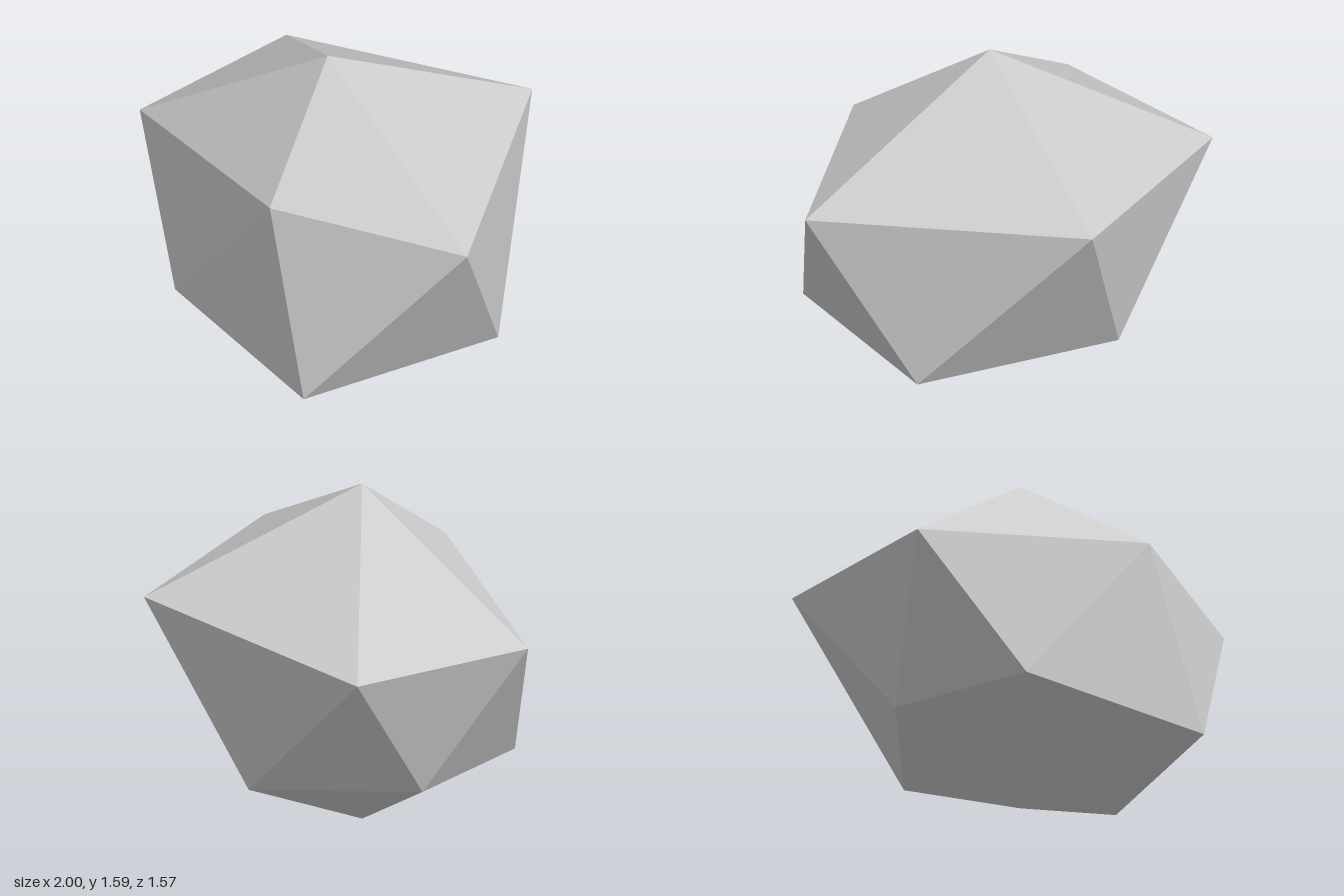
import * as THREE from 'three';

// Irregular twenty-sided boulder: two poles and two staggered rings of five corners
const TOP = [-0.07, 1.585, 0.19];
const BOTTOM = [-0.07, 0, 0.19];
const UPPER = [
  [1, 1.1, 0.19], [0.26, 1.17, 0.745], [-0.89, 1, 0.635], [-1, 0.98, -0.25], [0.14, 1.12, -0.785],
];
const LOWER = [
  [0.54, 0.29, 0.76], [-0.41, 0.355, 0.785], [-0.73, 0.335, 0.19], [-0.28, 0.295, -0.46], [0.68, 0.31, -0.21],
];

function boulderGeometry() {
  const positions = [];
  const tri = (a, b, c) => positions.push(...a, ...b, ...c);
  for (let i = 0; i < 5; i++) {
    const j = (i + 1) % 5;
    tri(TOP, UPPER[j], UPPER[i]); // cap
    tri(UPPER[i], UPPER[j], LOWER[i]); // band, pointing down
    tri(LOWER[i], UPPER[j], LOWER[j]); // band, pointing up
    tri(BOTTOM, LOWER[i], LOWER[j]); // base
  }
  const geometry = new THREE.BufferGeometry();
  geometry.setAttribute('position', new THREE.Float32BufferAttribute(positions, 3));
  geometry.computeVertexNormals();
  return geometry;
}

export function createModel() {
  const group = new THREE.Group();
  group.name = 'rock';
  const stone = new THREE.MeshStandardMaterial({ color: 0xcccccc, flatShading: true });
  stone.name = 'stone grey';
  const boulder = new THREE.Mesh(boulderGeometry(), stone);
  boulder.name = 'boulder';
  group.add(boulder);
  return group;
}
